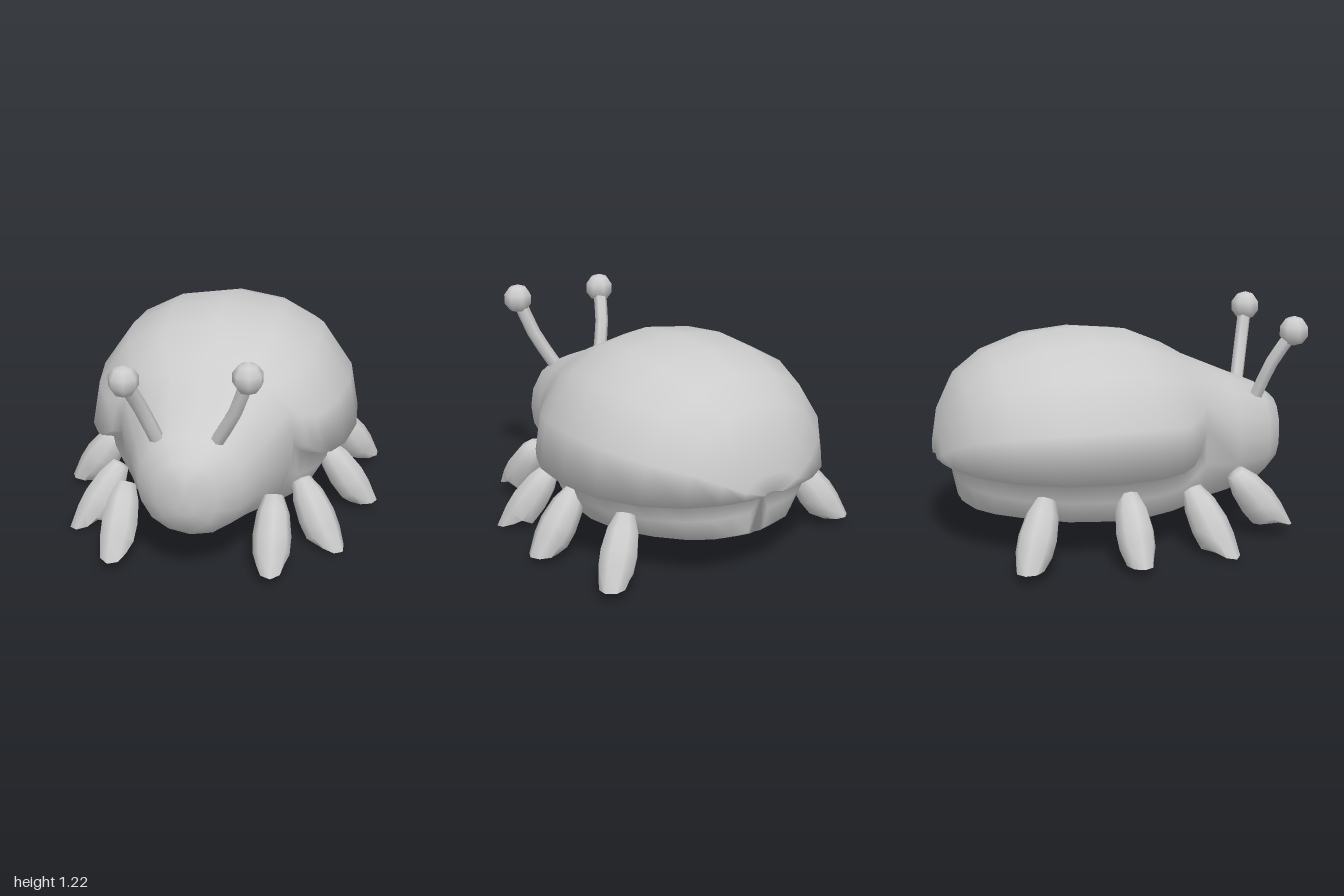
import * as THREE from 'three';
import { toCreasedNormals } from 'three/addons/utils/BufferGeometryUtils.js';

const grey = new THREE.MeshStandardMaterial({ color: 0xcccccc });
grey.name = 'grey';

function add(parent, geometry, name) {
  const mesh = new THREE.Mesh(geometry, grey);
  mesh.name = name;
  parent.add(mesh);
  return mesh;
}

// Half cross-sections as [width, height] fractions: shell above the rim, chin and belly below it
const UPPER = [[1, 0], [0.94, 0.385], [0.71, 0.755], [0.41, 0.93], [0, 1]];
const CHIN = [[1, 0], [0.94, 0.38], [0.74, 0.71], [0.42, 0.92], [0, 1]];
const BELLY = [[1, 0], [0.96, 0.4], [0.84, 0.79], [0.55, 0.89], [0, 1]];

// Stations front to back: z, half width, top y, rim y, bottom y, belly width ratio
const STATIONS = [
  [0.94, 0.05, 0.61, 0.51, 0.41, 1],
  [0.9, 0.16, 0.69, 0.51, 0.31, 1],
  [0.8, 0.27, 0.77, 0.51, 0.235, 1],
  [0.6, 0.35, 0.855, 0.53, 0.17, 1],
  [0.37, 0.46, 0.955, 0.64, 0.14, 1],
  [0.32, 0.525, 0.985, 0.55, 0.135, 0.87],
  [0.25, 0.6, 1.025, 0.485, 0.135, 0.82],
  [0.18, 0.64, 1.055, 0.465, 0.135, 0.84],
  [0.05, 0.7, 1.11, 0.46, 0.135, 0.86],
  [-0.2, 0.735, 1.135, 0.46, 0.15, 0.87],
  [-0.46, 0.715, 1.11, 0.465, 0.18, 0.88],
  [-0.7, 0.61, 1.03, 0.47, 0.21, 0.89],
  [-0.86, 0.46, 0.92, 0.475, 0.22, 0.91],
  [-0.95, 0.31, 0.75, 0.48, 0.225, 0.94],
  [-0.985, 0.18, 0.59, 0.48, 0.23, 0.96],
  [-1, 0.06, 0.5, 0.48, 0.23, 1],
];

// Head, domed shell and belly as one loft with a stepped rim
function bodyGeometry() {
  const rings = STATIONS.map(([z, w, top, rim, bottom, ratio]) => {
    const up = UPPER.map(([u, v]) => [w * u, rim + (top - rim) * v, z]);
    const low = (z > 0.5 ? CHIN : BELLY).map(([u, v]) => {
      const flat = Math.min(1, v * (1 + 0.2 * Math.max(0, -z))); // belly flattens to the rear
      return [w * ratio * u, rim + (bottom - rim) * flat, z < 0 ? z * (0.92 - 0.06 * v) : z];
    });
    const flip = (list) => list.slice().reverse().slice(1).map(([x, y, zz]) => [-x, y, zz]);
    const lowRight = low.slice(0, -1).reverse();
    const lowLeft = low.map(([x, y, zz]) => [-x, y, zz]);
    return [...up, ...flip(up), ...lowLeft, ...lowRight];
  });
  const n = rings[0].length;
  const points = rings.flat();
  const index = [];
  for (let i = 0; i < rings.length - 1; i++) {
    for (let j = 0; j < n; j++) {
      const a = i * n + j, b = i * n + (j + 1) % n;
      index.push(a, a + n, b, b, a + n, b + n);
    }
  }
  const nose = points.push([0, 0.51, 0.945]) - 1;
  const tail = points.push([0, 0.47, -0.92]) - 1;
  const last = (rings.length - 1) * n;
  for (let j = 0; j < n; j++) {
    const k = (j + 1) % n;
    index.push(nose, j, k, tail, last + k, last + j);
  }
  const g = new THREE.BufferGeometry();
  g.setAttribute('position', new THREE.Float32BufferAttribute(points.flat(), 3));
  g.setIndex(index);
  return toCreasedNormals(g, Math.PI);
}

// Plump leg from hip to foot; the sole is cut level, or raised by tilt at its heel
const LEG = [[0, 0], [0.05, 0.02], [0.085, 0.25], [0.1, 0.55], [0.095, 0.78], [0.07, 1]];
function legGeometry(hip, foot, tilt) {
  const end = new THREE.Vector3(...foot);
  const dir = end.clone().sub(new THREE.Vector3(...hip));
  const length = dir.length();
  dir.normalize();
  const outward = new THREE.Vector3(dir.x, 0, dir.z).normalize();
  const profile = LEG.map(([r, t]) => new THREE.Vector2(r, t * length));
  profile.push(new THREE.Vector2(0, length));
  const g = new THREE.LatheGeometry(profile, 8);
  const p = g.attributes.position;
  const turn = new THREE.Quaternion().setFromUnitVectors(new THREE.Vector3(0, 1, 0), dir);
  const v = new THREE.Vector3();
  for (let i = 0; i < p.count; i++) {
    v.fromBufferAttribute(p, i);
    const isSole = v.y > length * 0.99;
    v.applyQuaternion(turn).add(new THREE.Vector3(...hip));
    if (isSole) {
      v.addScaledVector(dir, (foot[1] - v.y) / dir.y);
      v.y += tilt * (0.5 - v.clone().sub(end).dot(outward) / 0.18);
    }
    p.setXYZ(i, v.x, v.y, v.z);
  }
  g.deleteAttribute('normal');
  return toCreasedNormals(g, 1.2);
}

const LEGS = [
  ['frontLeg', [0.39, 0.375, 0.55], [0.41, 0.06, 0.79], 0.06],
  ['secondLeg', [0.49, 0.34, 0.27], [0.67, 0.005, 0.4], 0.06],
  ['thirdLeg', [0.58, 0.365, -0.1], [0.79, 0.05, -0.1], 0],
  ['backLeg', [0.57, 0.37, -0.53], [0.75, 0.06, -0.66], 0],
];

// Curved stalk with a round knob
function antenna(name, base, bend, tip) {
  const group = new THREE.Group();
  group.name = name;
  const curve = new THREE.CatmullRomCurve3([base, bend, tip].map((p) => new THREE.Vector3(...p)));
  add(group, new THREE.TubeGeometry(curve, 4, 0.038, 6), 'stalk');
  add(group, new THREE.SphereGeometry(0.081, 7, 5), 'knob').position.set(...tip);
  return group;
}

export function createModel() {
  const model = new THREE.Group();
  model.name = 'beetle';
  add(model, bodyGeometry(), 'body');

  for (const [name, hip, foot, tilt] of LEGS) {
    for (const s of [1, -1]) {
      const side = ([x, y, z]) => [x * s, y, z];
      add(model, legGeometry(side(hip), side(foot), tilt), name + (s > 0 ? 'Left' : 'Right'));
    }
  }

  model.add(antenna('antennaLeft', [0.13, 0.75, 0.75], [0.23, 0.94, 0.81], [0.3, 1.145, 0.86]));
  model.add(antenna('antennaRight', [-0.18, 0.74, 0.75], [-0.245, 0.93, 0.81], [-0.3, 1.105, 0.91]));
  return model;
}
